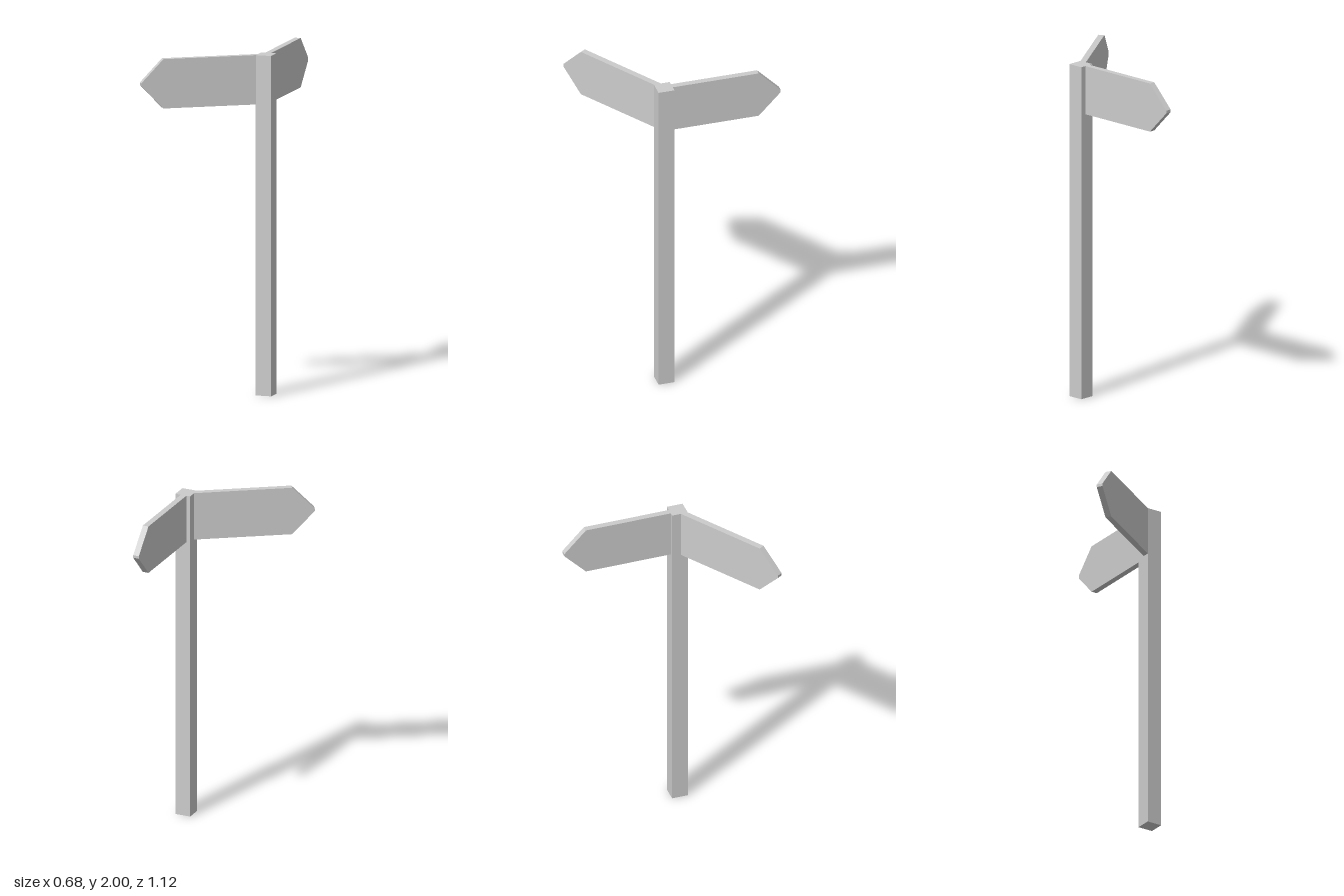
import * as THREE from 'three';

const material = new THREE.MeshStandardMaterial({ color: 0xcccccc, flatShading: true });
const THICKNESS = 0.036;

// Pointed board running from one plan position [x, z] to its tip at another
function signBoard(name, [x0, z0], [x1, z1]) {
  const length = Math.hypot(x1 - x0, z1 - z0);
  const shoulder = length - 0.132;
  const shape = new THREE.Shape([
    [0, 1.71], [shoulder, 1.71], [length, 1.847],
    [length, 1.863], [shoulder, 2], [0, 2],
  ].map(([x, y]) => new THREE.Vector2(x, y)));
  const geometry = new THREE.ExtrudeGeometry(shape, { depth: THICKNESS, bevelEnabled: false });
  geometry.translate(0, 0, -THICKNESS / 2);
  const board = new THREE.Mesh(geometry, material);
  board.name = name;
  board.position.set(x0, 0, z0);
  board.rotation.y = Math.atan2(z0 - z1, x1 - x0);
  return board;
}

export function createModel() {
  const group = new THREE.Group();
  group.name = 'signpost';

  // Square upright post
  const post = new THREE.Mesh(new THREE.BoxGeometry(0.094, 2, 0.096), material);
  post.name = 'post';
  post.position.set(0.294, 1, 0.138);
  group.add(post);

  // Two arrow boards, their inner ends sunk into the post
  group.add(
    signBoard('backBoard', [0.289, 0.1], [0.289, -0.562]),
    signBoard('frontBoard', [0.27, 0.15], [-0.333, 0.546]),
  );
  return group;
}
